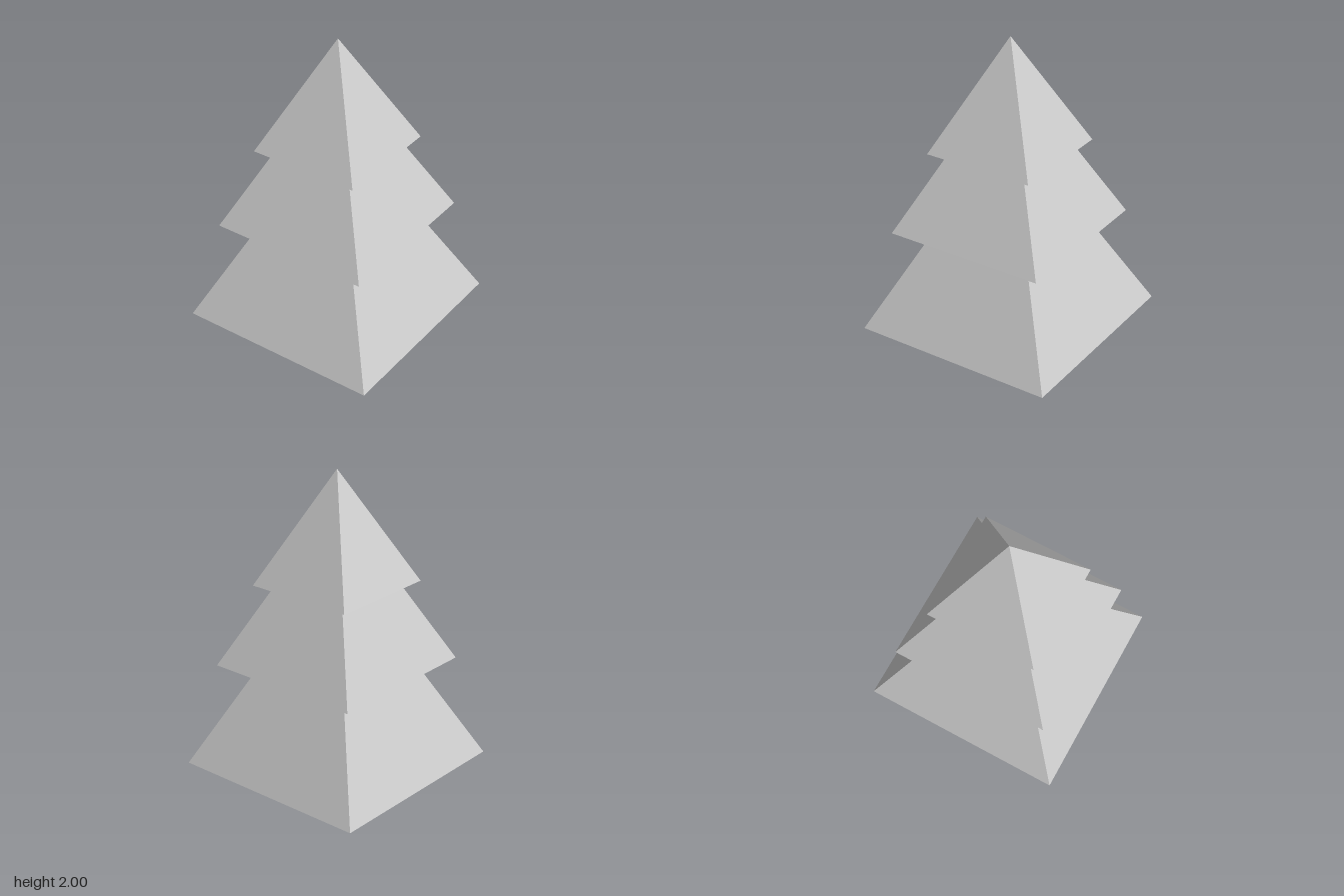
import * as THREE from 'three';

// Low-poly tree made of three stacked square pyramids
export function createModel() {
  const group = new THREE.Group();
  group.name = 'tree';
  const material = new THREE.MeshStandardMaterial({ color: 0xcccccc, flatShading: true });

  // Each tier: half width of the square base, base height, apex height
  const tiers = [
    { name: 'lowerBranches', half: 0.698, base: 0, apex: 1.4 },
    { name: 'middleBranches', half: 0.55, base: 0.7, apex: 1.8 },
    { name: 'topBranches', half: 0.378, base: 1.245, apex: 2 },
  ];

  for (const { name, half, base, apex } of tiers) {
    const height = apex - base;
    const geometry = new THREE.ConeGeometry(half * Math.SQRT2, height, 4);
    geometry.rotateY(Math.PI / 4); // sides face the axes
    geometry.translate(0, base + height / 2, 0);
    const tier = new THREE.Mesh(geometry, material);
    tier.name = name;
    group.add(tier);
  }
  return group;
}
